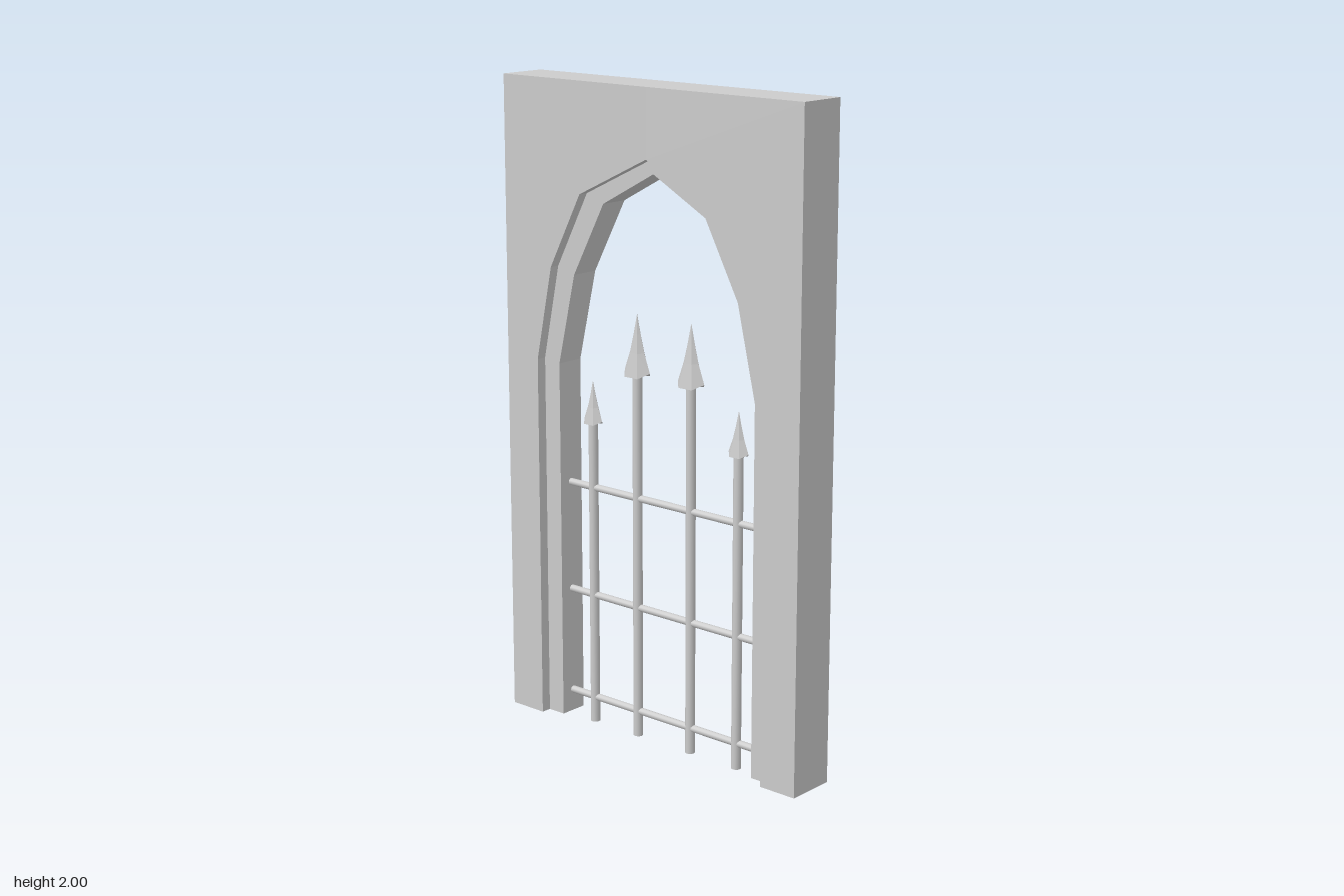
import * as THREE from 'three';

const stone = new THREE.MeshStandardMaterial({ color: 0xcccccc, flatShading: true });
const iron = new THREE.MeshStandardMaterial({ color: 0xcccccc });
const BASE = 0.01;

// Right half of each arch line, from the ground to the peak
const outerArch = [[0.44, BASE], [0.44, 1.15], [0.38, 1.44], [0.26, 1.67], [0, 1.795]];
const innerArch = [[0.38, BASE], [0.38, 1.14], [0.315, 1.42], [0.195, 1.645], [0, 1.75]];
const wallEdge = [[0.565, BASE], [0.565, 2], [0, 2]];

// Mirror a half line into a full one running from right foot to left foot
const mirrored = (half) => [...half, ...half.slice(0, -1).reverse().map(([x, y]) => [-x, y])];

// Solid between two lines, centred on z = 0
function archSolid(name, outside, inside, depth) {
  const points = [...mirrored(outside), ...mirrored(inside).reverse()];
  const shape = new THREE.Shape(points.map(([x, y]) => new THREE.Vector2(x, y)));
  const geometry = new THREE.ExtrudeGeometry(shape, { depth, bevelEnabled: false });
  geometry.translate(0, 0, -depth / 2);
  const mesh = new THREE.Mesh(geometry, stone);
  mesh.name = name;
  return mesh;
}

// Flattened six-sided spear point with its side corners swept up
function spearHead(radius, height) {
  const profile = [[0, 0], [1, 0], [0.56, 0.38], [0.27, 0.68], [0, 1]]
    .map(([r, y]) => new THREE.Vector2(r * radius, y * height));
  const geometry = new THREE.LatheGeometry(profile, 6, Math.PI / 2);
  const pos = geometry.attributes.position;
  for (let i = 0; i < pos.count; i++) {
    const lift = Math.max(0, Math.abs(pos.getX(i)) - radius / 2) * 0.6;
    pos.setXYZ(i, pos.getX(i), pos.getY(i) + lift, pos.getZ(i) * 0.65);
  }
  geometry.computeVertexNormals();
  const mesh = new THREE.Mesh(geometry, stone);
  mesh.name = 'spearHead';
  return mesh;
}

// Upright bar with a spear point on top
function upright(x, neck, radius, height) {
  const group = new THREE.Group();
  group.name = 'upright';
  const length = neck + height * 0.2;
  const bar = new THREE.Mesh(new THREE.CylinderGeometry(0.015, 0.015, length, 12), iron);
  bar.name = 'uprightBar';
  bar.position.y = length / 2;
  const head = spearHead(radius, height);
  head.position.y = neck;
  group.add(bar, head);
  group.position.x = x;
  return group;
}

export function createModel() {
  const model = new THREE.Group();
  model.name = 'archedGate';

  // Wall and the recessed frame inside its opening
  model.add(archSolid('wall', wallEdge, outerArch, 0.156));
  model.add(archSolid('innerFrame', outerArch, innerArch, 0.092));

  // Railing: tall uprights in the middle, short ones outside
  const railing = new THREE.Group();
  railing.name = 'railing';
  for (const side of [-1, 1]) {
    railing.add(upright(side * 0.105, 1.135, 0.05, 0.19));
    railing.add(upright(side * 0.285, 0.96, 0.037, 0.135));
  }
  for (const y of [0.08, 0.415, 0.76]) {
    const rail = new THREE.Mesh(new THREE.CylinderGeometry(0.011, 0.011, 0.78, 12), iron);
    rail.name = 'crossRail';
    rail.rotation.z = Math.PI / 2;
    rail.position.y = y;
    railing.add(rail);
  }
  model.add(railing);
  return model;
}
